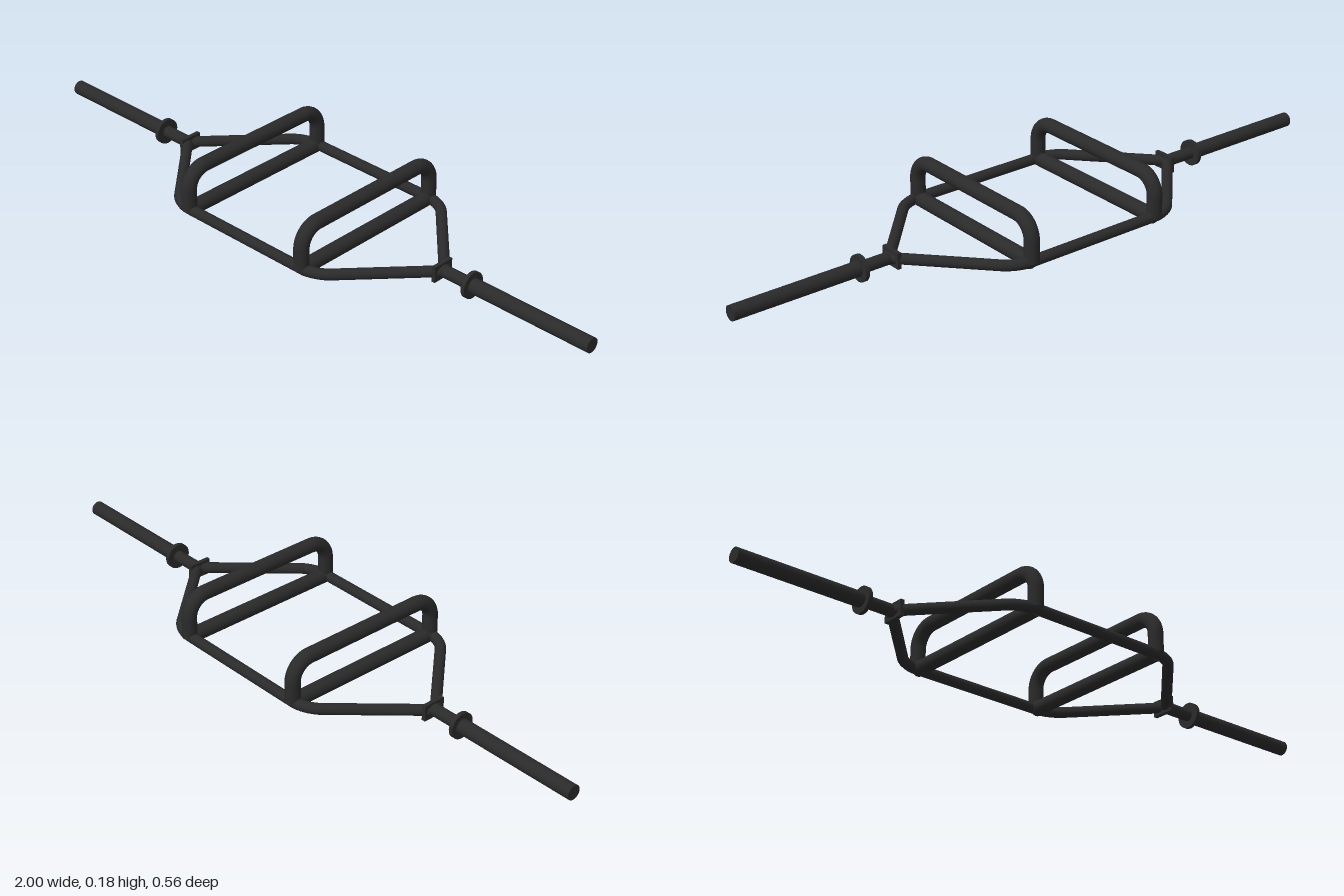
import * as THREE from 'three';

const AXIS = 0.039; // height of the bar's centre line

export function createModel() {
  const model = new THREE.Group();
  model.name = 'hexBar';
  const steel = new THREE.MeshStandardMaterial({ color: 0x2a2a2a });
  steel.name = 'blackSteel';

  const add = (name, geometry, x = 0, y = 0, z = 0) => {
    const mesh = new THREE.Mesh(geometry, steel);
    mesh.name = name;
    mesh.position.set(x, y, z);
    model.add(mesh);
    return mesh;
  };

  // Path through corner points with each marked corner rounded off
  const roundedPath = (points, cut) => {
    const path = new THREE.CurvePath();
    let start = points[0];
    for (let i = 1; i < points.length - 1; i++) {
      const p = points[i];
      const toward = (q) => p.clone().add(q.clone().sub(p).setLength(cut));
      const a = toward(points[i - 1]);
      const b = toward(points[i + 1]);
      // Cubic handles approximate a circular bend
      path.add(new THREE.LineCurve3(start, a));
      path.add(new THREE.CubicBezierCurve3(a, a.clone().lerp(p, 0.55), b.clone().lerp(p, 0.55), b));
      start = b;
    }
    path.add(new THREE.LineCurve3(start, points[points.length - 1]));
    return path;
  };

  // Cylinder along x, or along z when turned
  const rod = (radius, length, axis) => {
    const g = new THREE.CylinderGeometry(radius, radius, length, 28);
    return axis === 'x' ? g.rotateZ(Math.PI / 2) : g.rotateX(Math.PI / 2);
  };

  const V = (x, y, z) => new THREE.Vector3(x, y, z);

  // Hexagonal frame, front and back halves
  for (const s of [1, -1]) {
    const path = roundedPath(
      [V(-0.505, AXIS, 0), V(-0.267, AXIS, s * 0.258), V(0.267, AXIS, s * 0.258), V(0.505, AXIS, 0)], 0.045);
    add(s > 0 ? 'frontFrame' : 'backFrame', new THREE.TubeGeometry(path, 160, 0.016, 20));
  }

  for (const s of [1, -1]) {
    const side = s > 0 ? 'left' : 'right';

    // Low grip and raised grip
    add(side + 'LowGrip', rod(0.022, 0.516, 'z'), s * 0.22, AXIS, 0);
    const hoop = roundedPath(
      [V(0, AXIS, 0.258), V(0, 0.161, 0.258), V(0, 0.161, -0.258), V(0, AXIS, -0.258)], 0.06);
    add(side + 'RaisedGrip', new THREE.TubeGeometry(hoop, 140, 0.022, 24), s * 0.22);
    for (const z of [0.258, -0.258]) {
      const cap = new THREE.CircleGeometry(0.022, 24).rotateX(Math.PI / 2);
      add(side + 'GripEnd', cap, s * 0.22, AXIS, z);
    }

    // Joint plate, neck, collar and loading sleeve
    add(side + 'JointPlate', new THREE.BoxGeometry(0.012, 0.048, 0.07), s * 0.495, AXIS, 0);
    add(side + 'Neck', rod(0.018, 0.11, 'x'), s * 0.55, AXIS, 0);
    add(side + 'Collar', rod(0.039, 0.012, 'x'), s * 0.6, AXIS, 0);
    add(side + 'Sleeve', rod(0.022, 0.4, 'x'), s * 0.8, AXIS, 0);
  }

  return model;
}
